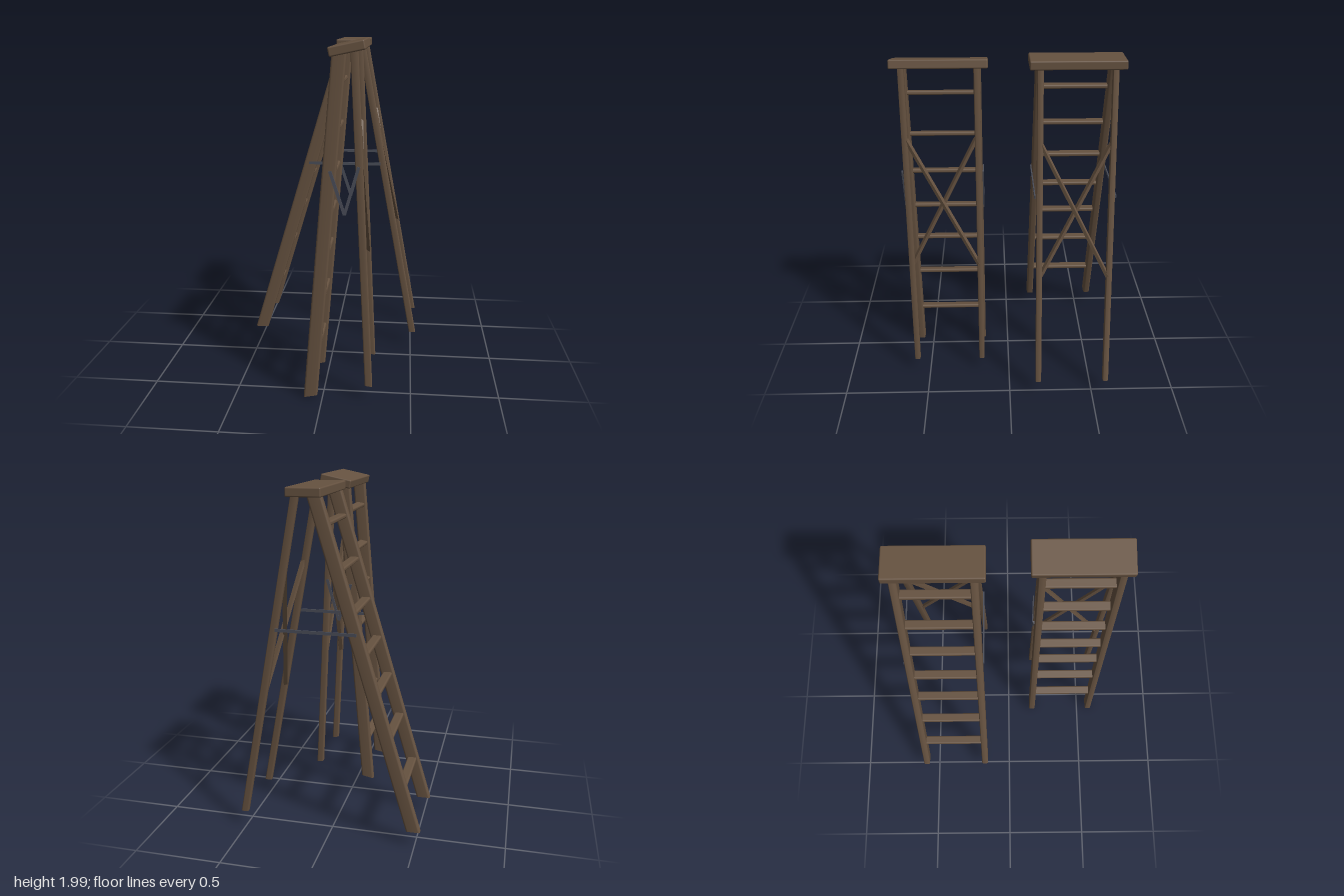
import * as THREE from 'three';
import { toCreasedNormals } from 'three/addons/utils/BufferGeometryUtils.js';
import { RoundedBoxGeometry } from 'three/addons/geometries/RoundedBoxGeometry.js';

const wood = new THREE.MeshStandardMaterial({ color: 0x665240 });
wood.name = 'dark wood';
const metal = new THREE.MeshStandardMaterial({ color: 0x4a4d58 });
metal.name = 'grey metal';

// Leaning post with softly rounded edges, cut level at both ends
function post(name, [x0, y0], [x1, y1], w, d, z, r) {
  const s = new THREE.Shape();
  const a = w / 2, b = d / 2;
  s.moveTo(-a + r, -b);
  s.lineTo(a - r, -b);
  s.quadraticCurveTo(a, -b, a, -b + r);
  s.lineTo(a, b - r);
  s.quadraticCurveTo(a, b, a - r, b);
  s.lineTo(-a + r, b);
  s.quadraticCurveTo(-a, b, -a, b - r);
  s.lineTo(-a, -b + r);
  s.quadraticCurveTo(-a, -b, -a + r, -b);
  let g = new THREE.ExtrudeGeometry(s, { depth: y1 - y0, bevelEnabled: false, curveSegments: 4 });
  g.rotateX(-Math.PI / 2);
  const p = g.attributes.position;
  for (let i = 0; i < p.count; i++) {
    const t = p.getY(i) / (y1 - y0);
    p.setXYZ(i, p.getX(i) + x0 + (x1 - x0) * t, p.getY(i) + y0, p.getZ(i) + z);
  }
  g = toCreasedNormals(g, 0.7);
  const m = new THREE.Mesh(g, wood);
  m.name = name;
  return m;
}

// Straight bar between two points
function bar(name, a, b, w, d, material) {
  const A = new THREE.Vector3(...a), B = new THREE.Vector3(...b);
  const m = new THREE.Mesh(new THREE.BoxGeometry(w, d, A.distanceTo(B)), material);
  m.position.copy(A).add(B).multiplyScalar(0.5);
  m.lookAt(B);
  m.name = name;
  return m;
}

function roundedBlock(name, w, h, d, r, x, y) {
  const m = new THREE.Mesh(new RoundedBoxGeometry(w, h, d, 3, r), wood);
  m.position.set(x, y, 0);
  m.name = name;
  return m;
}

const foot = [-0.49, 0.09], head = [0.06, 1.935];
const railX = y => foot[0] + (head[0] - foot[0]) * (y - foot[1]) / (head[1] - foot[1]);

// Climbing side: origin at the foot of the rails
function climbingSide() {
  const g = new THREE.Group();
  g.name = 'climbingSide';
  for (const s of [-1, 1]) g.add(post('rail', foot, head, 0.08, 0.042, s * 0.205, 0.012));
  for (const y of [0.34, 0.62, 0.87, 1.09, 1.315, 1.545, 1.785]) {
    g.add(roundedBlock('rung', 0.054, 0.024, 0.4, 0.009, railX(y), y));
  }
  g.add(roundedBlock('topPlate', 0.19, 0.05, 0.528, 0.008, 0.105, 1.95));
  g.children.forEach(c => { c.position.x -= foot[0]; c.position.y -= foot[1]; });
  return g;
}

// Rear legs with crossed braces: origin at the hinge
function rearSide() {
  const g = new THREE.Group();
  g.name = 'rearSide';
  const end = [0.345, -1.83];
  const legX = y => end[0] * y / end[1];
  for (const s of [-1, 1]) {
    g.add(post('rearLeg', end, [-0.002, 0.012], 0.042, 0.034, s * 0.204, 0.008));
    const o = s * 0.008;
    g.add(bar('crossBrace', [legX(-0.4) + o, -0.4, s * 0.196],
      [legX(-1.17) + o, -1.17, -s * 0.196], 0.024, 0.018, wood));
  }
  return g;
}

// One ladder: foot position, tilt of each side, hinge position and strut path
function ladder(name, z, footPos, tilt, hinge, fold, strut) {
  const g = new THREE.Group();
  g.name = name;
  const front = climbingSide();
  front.position.set(footPos[0], footPos[1], 0);
  front.rotation.z = tilt;
  const rear = rearSide();
  rear.position.set(hinge[0], hinge[1], 0);
  rear.rotation.z = fold;
  g.add(front, rear);
  for (const s of [-1, 1]) {
    for (let i = 0; i + 1 < strut.length; i++) {
      g.add(bar('foldingStrut', [...strut[i], s * 0.23], [...strut[i + 1], s * 0.23], 0.007, 0.017, metal));
    }
  }
  // Bars lie along x-y, so their thin side faces z
  g.position.z = z;
  return g;
}

export function createModel() {
  const model = new THREE.Group();
  model.name = 'stepLadders';
  model.add(
    ladder('openLadder', -0.377, foot, 0, [0.165, 1.92], 0,
      [[-0.165, 1.215], [0.06, 1.215], [0.285, 1.215]]),
    ladder('halfFoldedLadder', 0.375, [-0.068, 0.009], 0.207, [0.168, 1.945], -0.136,
      [[0.045, 1.32], [0.123, 1.085], [0.197, 1.345]]),
  );
  return model;
}
